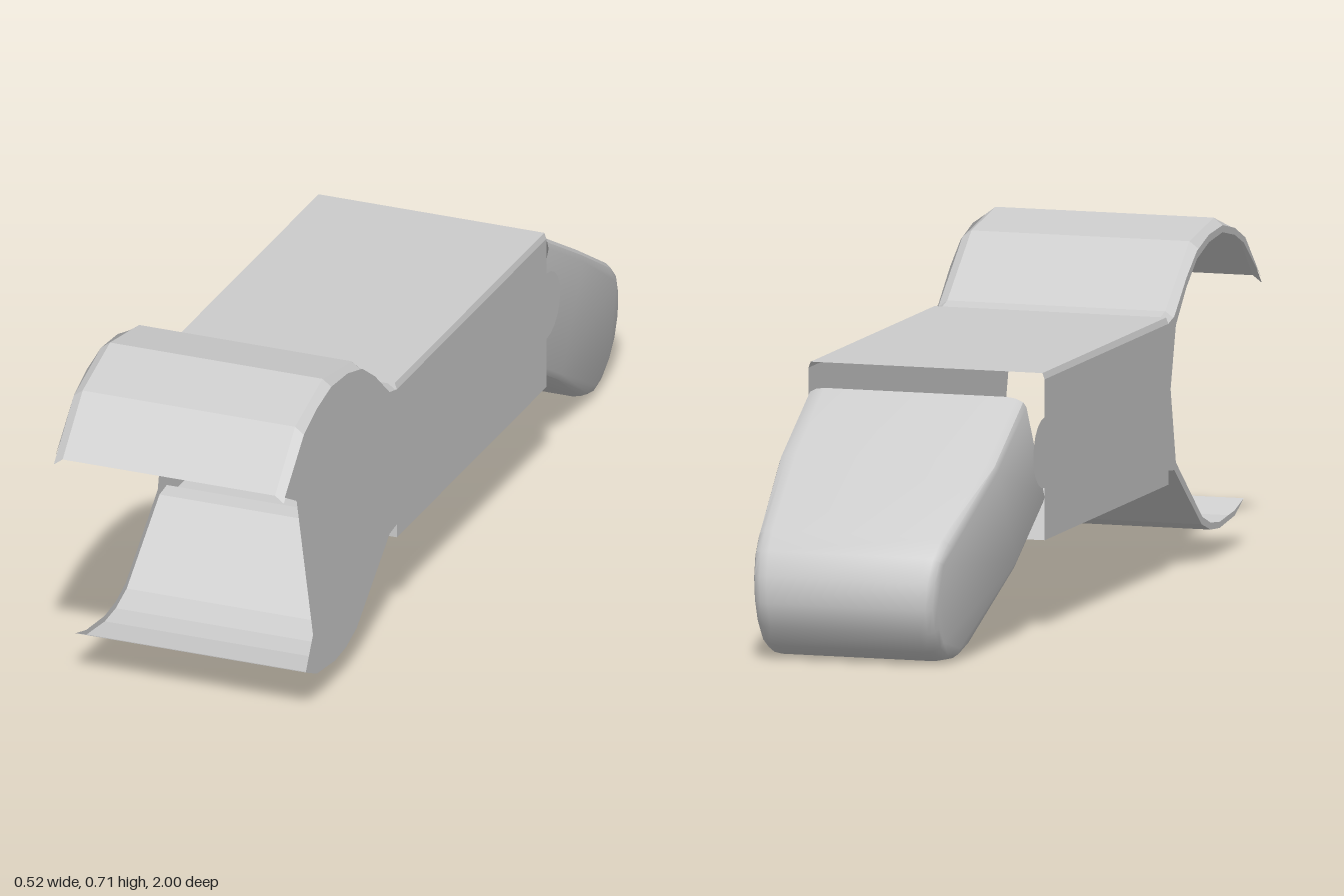
import * as THREE from 'three';
import { toCreasedNormals } from 'three/addons/utils/BufferGeometryUtils.js';

const W = 0.26, BACK = -0.44, FRONT = 0.38, PIVOT_Y = 0.385;
const material = new THREE.MeshStandardMaterial({ color: 0xcccccc, side: THREE.DoubleSide });

function geometryFrom(pos) {
  const g = new THREE.BufferGeometry();
  g.setAttribute('position', new THREE.Float32BufferAttribute(pos, 3));
  g.computeVertexNormals();
  return g;
}

// Flat-shaded surface through rows of [x, y, z] points
function loft(rows) {
  const pos = [];
  for (let r = 0; r < rows.length - 1; r++) {
    for (let i = 0; i < rows[r].length - 1; i++) {
      const a = rows[r][i], b = rows[r][i + 1], c = rows[r + 1][i], d = rows[r + 1][i + 1];
      pos.push(...a, ...b, ...c, ...b, ...d, ...c);
    }
  }
  return geometryFrom(pos);
}

// Flat side plate facing outwards, outline given as [z, y]
function sidePlate(outline, side) {
  const shape = new THREE.Shape(outline.map(([z, y]) => new THREE.Vector2(-side * z, y)));
  return new THREE.ShapeGeometry(shape).rotateY(side * Math.PI / 2).translate(side * W, 0, 0);
}

// Curved jaw sheet across the width, with its outer edges dropped by a small chamfer
function jaw(path, drop) {
  return loft(path.map(([z, y]) => [
    [W, y - drop, z], [W - 0.02, y, z], [-W + 0.02, y, z], [-W, y - drop, z],
  ]));
}

// Straight sleeve plate with narrow chamfers along its long edges
function sleevePlate(y, edgeY, dir) {
  const row = (z) => [
    [dir * W, edgeY, z], [dir * (W - 0.005), y, z], [-dir * (W - 0.005), y, z], [-dir * W, edgeY, z],
  ];
  return loft([row(BACK), row(FRONT)]);
}

// Hollow rounded grip, made along +x, open at the pivot end, then tilted down
function gripGeometry() {
  const r = 0.145, reach = 0.48, bevel = 0.025, round = 0.04, depth = 0.4;
  const taperStart = 0.22, end = reach + r;
  const shape = new THREE.Shape();
  shape.moveTo(-bevel, -r);
  shape.lineTo(taperStart, -r);
  for (let i = 0; i <= 8; i++) {
    const a = -Math.PI / 2 + i * Math.PI / 8;
    shape.lineTo(reach + r * Math.cos(a), r * Math.sin(a));
  }
  shape.lineTo(taperStart, r);
  shape.lineTo(-bevel, r);
  shape.closePath();
  const block = new THREE.ExtrudeGeometry(shape, {
    depth, bevelThickness: round, bevelSize: bevel, bevelOffset: -bevel, bevelSegments: 3,
  }).translate(0, 0, -depth / 2);

  // Narrow the tip, trim the pivot end flat and leave out its end face
  const p = block.attributes.position, pos = [];
  for (let i = 0; i < p.count; i += 3) {
    const corners = [i, i + 1, i + 2].map((k) => {
      const s = Math.max(0, p.getX(k));
      const t = Math.max(0, (s - taperStart) / (end - taperStart));
      return [s, p.getY(k), p.getZ(k) * (1 - 0.18 * t)];
    });
    if (corners.some(([s]) => s > 0.001)) pos.push(...corners.flat());
  }
  const g = geometryFrom(pos);
  g.rotateY(Math.PI / 2).rotateX(-Math.PI / 6).translate(0, PIVOT_Y, BACK);
  return toCreasedNormals(g, 0.6);
}

export function createModel() {
  const model = new THREE.Group();
  const add = (name, geometry) => {
    const mesh = new THREE.Mesh(geometry, material);
    mesh.name = name;
    model.add(mesh);
  };

  const upper = [[FRONT, 0.55], [0.42, 0.56], [0.58, 0.685], [0.74, 0.712], [0.89, 0.665], [1, 0.553]];
  const lower = [[FRONT, 0.23], [0.42, 0.225], [0.6, 0.085], [0.66, 0.065], [0.72, 0.06], [0.82, 0.072], [0.88, 0.1]];

  // Back edge of both side plates, with the round hinge tab
  const rear = [[BACK, 0.2]];
  for (let i = 0; i <= 10; i++) {
    const a = -Math.PI / 2 + i * Math.PI / 10;
    rear.push([BACK - 0.075 * Math.cos(a), PIVOT_Y + 0.075 * Math.sin(a)]);
  }
  rear.push([BACK, 0.54]);

  // Left side: the plate runs on into a full cheek
  const cheekTop = [[0.42, 0.55], [0.5, 0.62], [0.57, 0.667], [0.65, 0.69], [0.74, 0.697], [0.82, 0.68], [0.89, 0.65], [0.995, 0.55]];
  const cheekBottom = [...lower].reverse();
  add('leftSideCheek', sidePlate([
    ...rear, [FRONT, 0.54], ...cheekTop, [0.93, 0.515], [0.84, 0.17],
    ...cheekBottom, [FRONT, 0.2],
  ], 1));

  // Right side: only a narrow rim follows the jaws round a hollow
  add('rightSideRim', sidePlate([
    ...rear, [FRONT, 0.54], ...cheekTop,
    [0.88, 0.64], [0.82, 0.665], [0.74, 0.682], [0.65, 0.674], [0.57, 0.65], [0.5, 0.6], [0.43, 0.53],
    [0.395, 0.4], [0.43, 0.24],
    [0.605, 0.1], [0.66, 0.08], [0.72, 0.073], [0.82, 0.083],
    ...cheekBottom, [FRONT, 0.2],
  ], -1));

  // Open-ended sleeve
  add('sleeveTop', sleevePlate(0.553, 0.54, 1));
  add('sleeveBottom', sleevePlate(0.2, 0.2, -1));
  add('sleeveFrontLip', new THREE.PlaneGeometry(2 * W, 0.03).translate(0, 0.215, FRONT));

  // Jaws
  add('upperJaw', jaw(upper, 0.015));
  add('lowerJaw', jaw(lower, 0));

  add('grip', gripGeometry());
  return model;
}
